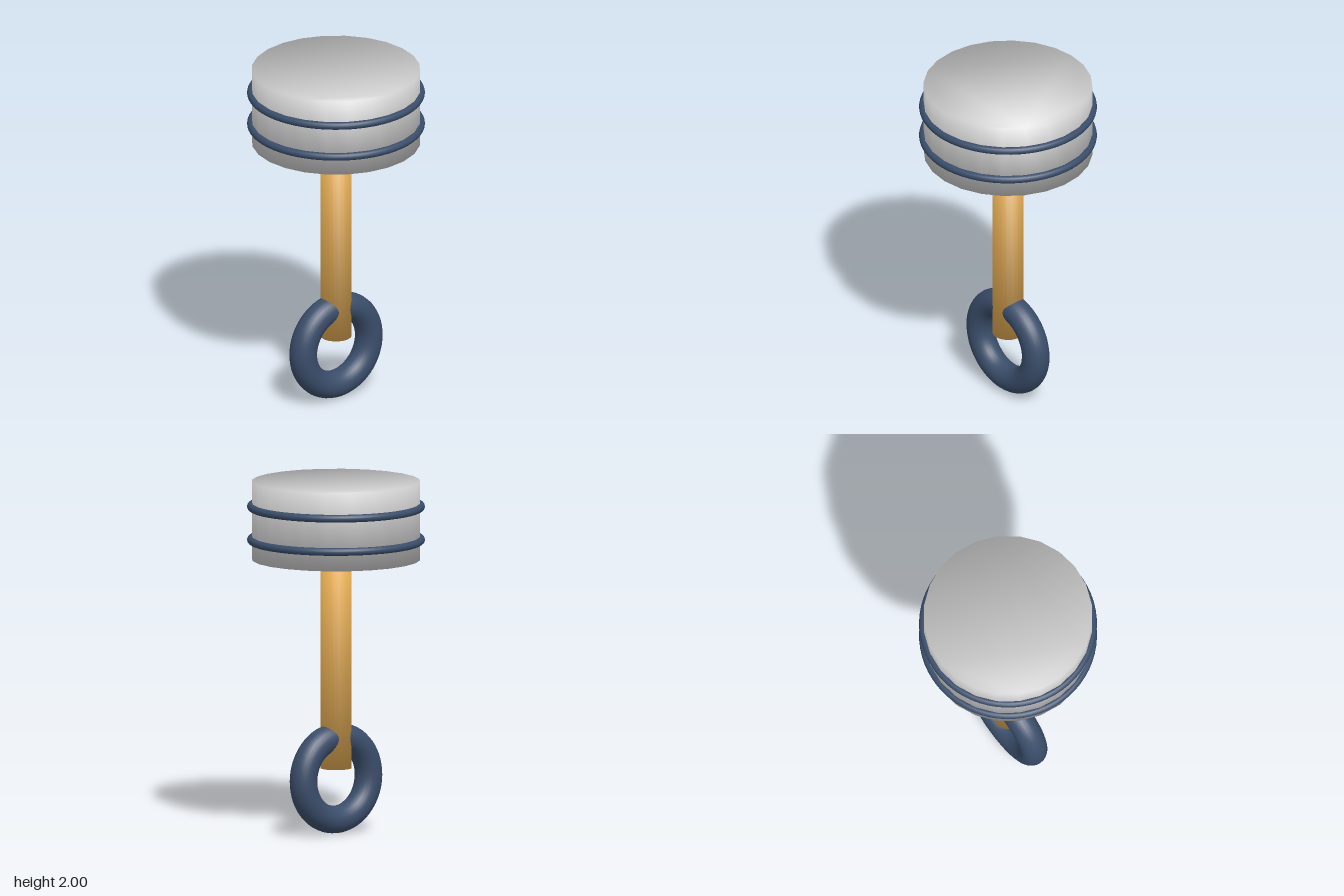
import * as THREE from 'three';

const grey = new THREE.MeshStandardMaterial({ color: 0xcccccc });
const amber = new THREE.MeshStandardMaterial({ color: 0xe5ac52 });
const navy = new THREE.MeshStandardMaterial({ color: 0x3a4d6a });

// Upright solid cylinder whose normals blend softly from the side into the flat ends
function softCylinder(name, radius, bottom, top, sides, material) {
  const outline = [];
  for (let i = 0; i < sides; i++) {
    const a = (i / sides) * Math.PI * 2;
    outline.push(new THREE.Vector2(radius * Math.cos(a), radius * Math.sin(a)));
  }
  const height = top - bottom;
  const geometry = new THREE.ExtrudeGeometry(new THREE.Shape(outline), { depth: height, bevelEnabled: false });
  geometry.translate(0, 0, -height / 2).rotateX(-Math.PI / 2);

  const { position, normal } = geometry.attributes;
  const n = new THREE.Vector3();
  for (let i = 0; i < position.count; i++) {
    n.set(position.getX(i) / radius, Math.sign(position.getY(i)), position.getZ(i) / radius).normalize();
    normal.setXYZ(i, n.x, n.y, n.z);
  }
  const mesh = new THREE.Mesh(geometry, material);
  mesh.name = name;
  mesh.position.y = (bottom + top) / 2;
  return mesh;
}

function ring(name, radius, tube, y, tubeSides, segments) {
  const mesh = new THREE.Mesh(new THREE.TorusGeometry(radius, tube, tubeSides, segments), navy);
  mesh.name = name;
  mesh.position.y = y;
  return mesh;
}

export function createModel() {
  const model = new THREE.Group();
  model.name = 'piston';

  // Head and connecting rod
  model.add(softCylinder('pistonHead', 0.475, 1.556, 2, 24, grey));
  model.add(softCylinder('connectingRod', 0.088, 0.37, 1.57, 24, amber));

  // Two sealing rings around the head
  [['upperSealRing', 1.856], ['lowerSealRing', 1.667]].forEach(([name, y]) => {
    const seal = ring(name, 0.478, 0.022, y, 16, 64);
    seal.rotation.x = Math.PI / 2;
    model.add(seal);
  });

  // Upright eye through the lower end of the rod
  model.add(ring('rodEye', 0.235, 0.078, 0.313, 24, 64));

  return model;
}
